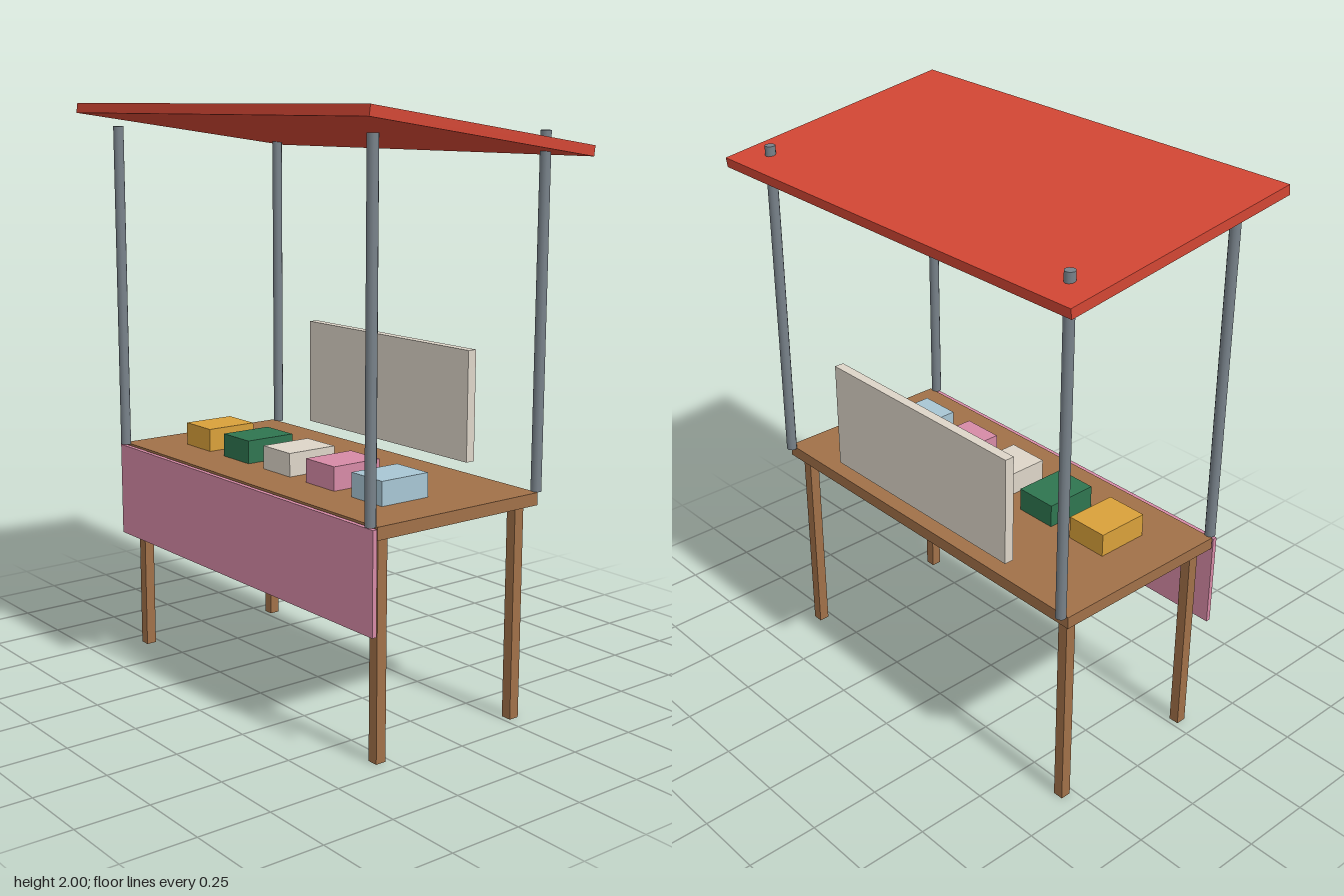
import * as THREE from 'three';

const material = (color) => new THREE.MeshStandardMaterial({ color });

export function createModel() {
  const stall = new THREE.Group();
  stall.name = 'marketStall';

  const wood = material(0xa07048);
  const steel = material(0x78828a);
  const red = material(0xd24634);
  const cream = material(0xddd5c8);
  const pink = material(0xd68aa6);

  const add = (name, geometry, mat, x, y, z) => {
    const mesh = new THREE.Mesh(geometry, mat);
    mesh.name = name;
    mesh.position.set(x, y, z);
    stall.add(mesh);
    return mesh;
  };
  const box = (name, mat, [w, h, d], [x, y, z]) =>
    add(name, new THREE.BoxGeometry(w, h, d), mat, x, y, z);

  // Counter and hanging front cloth
  box('counterTop', wood, [1.45, 0.042, 0.67], [0, 0.75, 0]);
  box('frontCloth', pink, [1.455, 0.335, 0.016], [0, 0.5975, 0.347]);

  // Legs and canopy poles at the four corners
  const poleGeometry = new THREE.CylinderGeometry(0.018, 0.018, 1.15, 12);
  for (const sx of [-1, 1]) {
    for (const sz of [-1, 1]) {
      box('leg', wood, [0.037, 0.73, 0.037], [sx * 0.673, 0.365, sz * 0.287]);
      add('canopyPole', poleGeometry, steel, sx * 0.705, 1.345, sz * 0.347);
    }
  }

  // Canopy, higher at the front; the rear poles poke through it
  const canopy = box('canopy', red, [1.63, 0.034, 0.908], [0, 1.92, 0]);
  canopy.rotation.x = -0.14;

  // Back board
  box('backBoard', cream, [0.864, 0.38, 0.034], [0, 1.01, -0.312]);

  // Row of goods on the counter
  const goods = [material(0xd9a03a), material(0x2f7550), cream, pink, material(0xa8c6d4)];
  goods.forEach((mat, i) => {
    box('goodsBox', mat, [0.151, 0.082, 0.19], [(i - 2) * 0.24 - 0.002, 0.811, 0.08]);
  });

  return stall;
}
